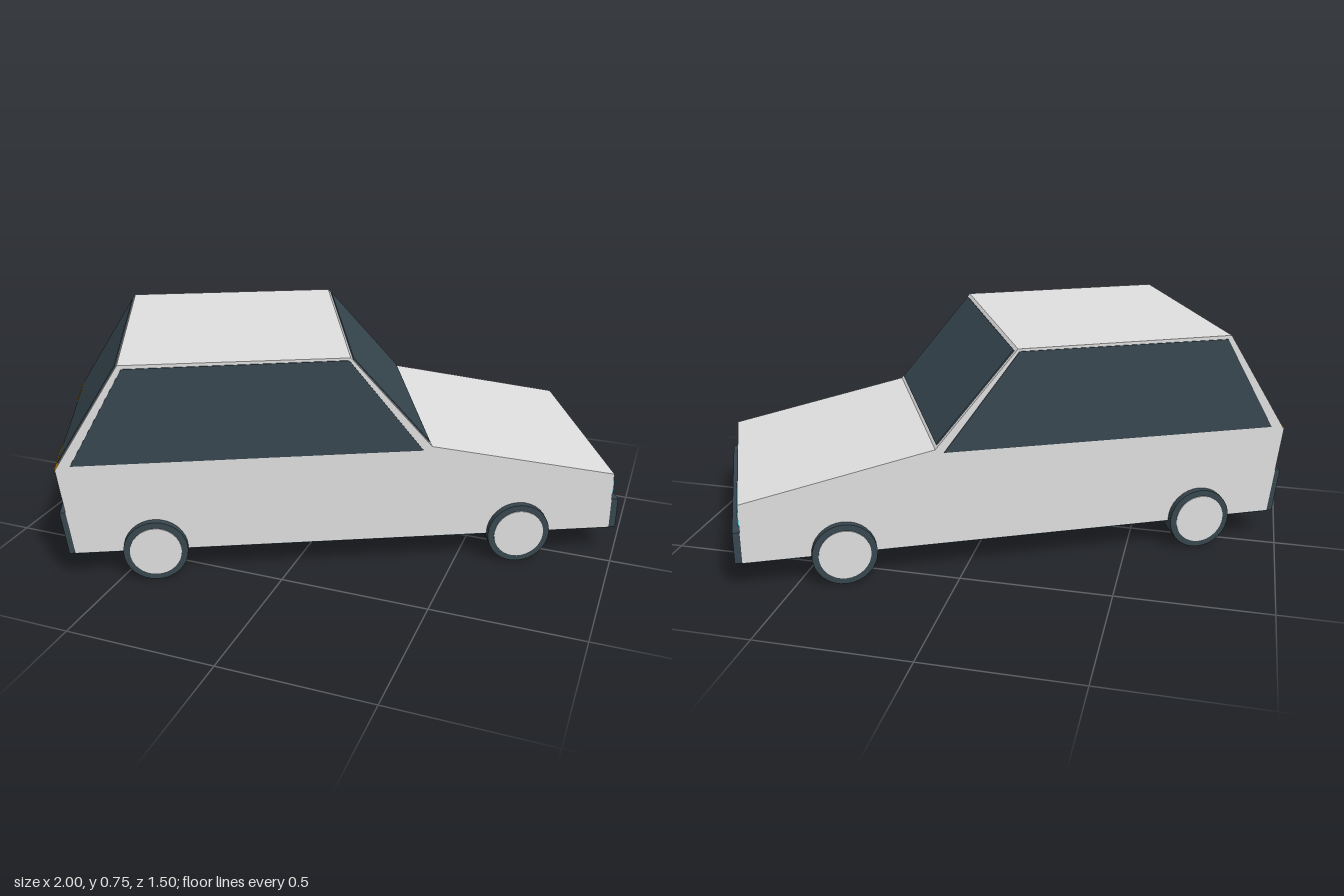
import * as THREE from 'three';

const mat = (name, color) => Object.assign(new THREE.MeshStandardMaterial({ color }), { name });

export function createModel() {
  const paint = mat('paint', 0xe0e0e0);
  const dark = mat('dark slate', 0x37474f);
  const cyan = mat('lamp cyan', 0x00bcd4);
  const amber = mat('lamp amber', 0xffa000);

  const model = new THREE.Group();
  model.name = 'hatchbackCar';
  // The car is built along local x, then parked at an angle
  const car = new THREE.Group();
  car.name = 'car';
  car.rotation.y = 0.455;
  model.add(car);

  const HALF = 0.381;

  // Side profile extruded across the car from z0 to z1
  function slab(name, material, points, z0, z1) {
    const shape = new THREE.Shape(points.map(p => new THREE.Vector2(p[0], p[1])));
    const geo = new THREE.ExtrudeGeometry(shape, { depth: z1 - z0, bevelEnabled: false });
    geo.translate(0, 0, z0);
    const mesh = new THREE.Mesh(geo, material);
    mesh.name = name;
    car.add(mesh);
    return mesh;
  }

  // Plate of thickness t on the outside of a profile edge, between fractions a and b
  function plate(name, material, p, q, a, b, t, z0, z1) {
    const dx = q[0] - p[0], dy = q[1] - p[1], len = Math.hypot(dx, dy);
    const nx = (dy / len) * t, ny = (-dx / len) * t;
    const at = (f, k) => [p[0] + dx * f + nx * k, p[1] + dy * f + ny * k];
    return slab(name, material, [at(a, 0), at(b, 0), at(b, 1), at(a, 1)], z0, z1);
  }

  // Body shell, counter-clockwise from the rear bottom corner
  const rearBottom = [-0.889, 0.1], noseBottom = [0.904, 0.1], noseTop = [0.904, 0.3];
  const cowl = [0.281, 0.43], roofFront = [0.013, 0.745];
  const roofRear = [-0.705, 0.745], rearBelt = [-0.925, 0.4];
  slab('body', paint,
    [rearBottom, noseBottom, noseTop, cowl, roofFront, roofRear, rearBelt], -HALF, HALF);
  plate('floor', dark, rearBottom, noseBottom, 0, 1, 0.003, -HALF, HALF);

  // Glass
  plate('windscreen', dark, cowl, roofFront, 0.03, 0.97, 0.004, -0.366, 0.366);
  plate('rearWindow', dark, roofRear, rearBelt, 0.03, 0.96, 0.004, -0.358, 0.358);
  const sideGlass = [[-0.877, 0.413], [0.253, 0.418], [0.008, 0.737], [-0.693, 0.733]];
  slab('leftSideWindow', dark, sideGlass, HALF - 0.002, HALF + 0.003);
  slab('rightSideWindow', dark, sideGlass, -HALF - 0.003, -HALF + 0.002);

  // Bumpers
  plate('frontBumper', dark, noseBottom, noseTop, 0, 0.53, 0.023, -HALF, HALF);
  plate('rearBumper', dark, rearBelt, rearBottom, 0.5, 1, 0.019, -HALF, HALF);

  // Grille and lamps
  plate('grille', dark, noseBottom, noseTop, 0.65, 0.87, 0.004, -0.19, 0.19);
  for (const [side, s] of [['left', -1], ['right', 1]]) {
    const span = (a, b) => (s > 0 ? [a, b] : [-b, -a]);
    plate(side + 'Headlight', cyan, noseBottom, noseTop, 0.65, 0.87, 0.004, ...span(0.19, 0.38));
    plate(side + 'TailLight', amber, roofRear, rearBelt, 0.97, 1, 0.004, ...span(0.2, 0.375));
  }

  // Wheels
  const R = 0.105;
  const tyreGeo = new THREE.CylinderGeometry(R, R, 0.07, 32).rotateX(Math.PI / 2);
  const hubGeo = new THREE.CylinderGeometry(0.084, 0.084, 0.006, 32).rotateX(Math.PI / 2);
  for (const [end, x] of [['front', 0.583], ['rear', -0.627]]) {
    for (const [side, s] of [['Left', -1], ['Right', 1]]) {
      const wheel = new THREE.Group();
      wheel.name = end + side + 'Wheel';
      const tyre = new THREE.Mesh(tyreGeo, dark);
      tyre.name = 'tyre';
      const hub = new THREE.Mesh(hubGeo, paint);
      hub.name = 'hubcap';
      hub.position.z = s * 0.035;
      wheel.add(tyre, hub);
      wheel.position.set(x, R, s * 0.369);
      car.add(wheel);
    }
  }
  return model;
}
